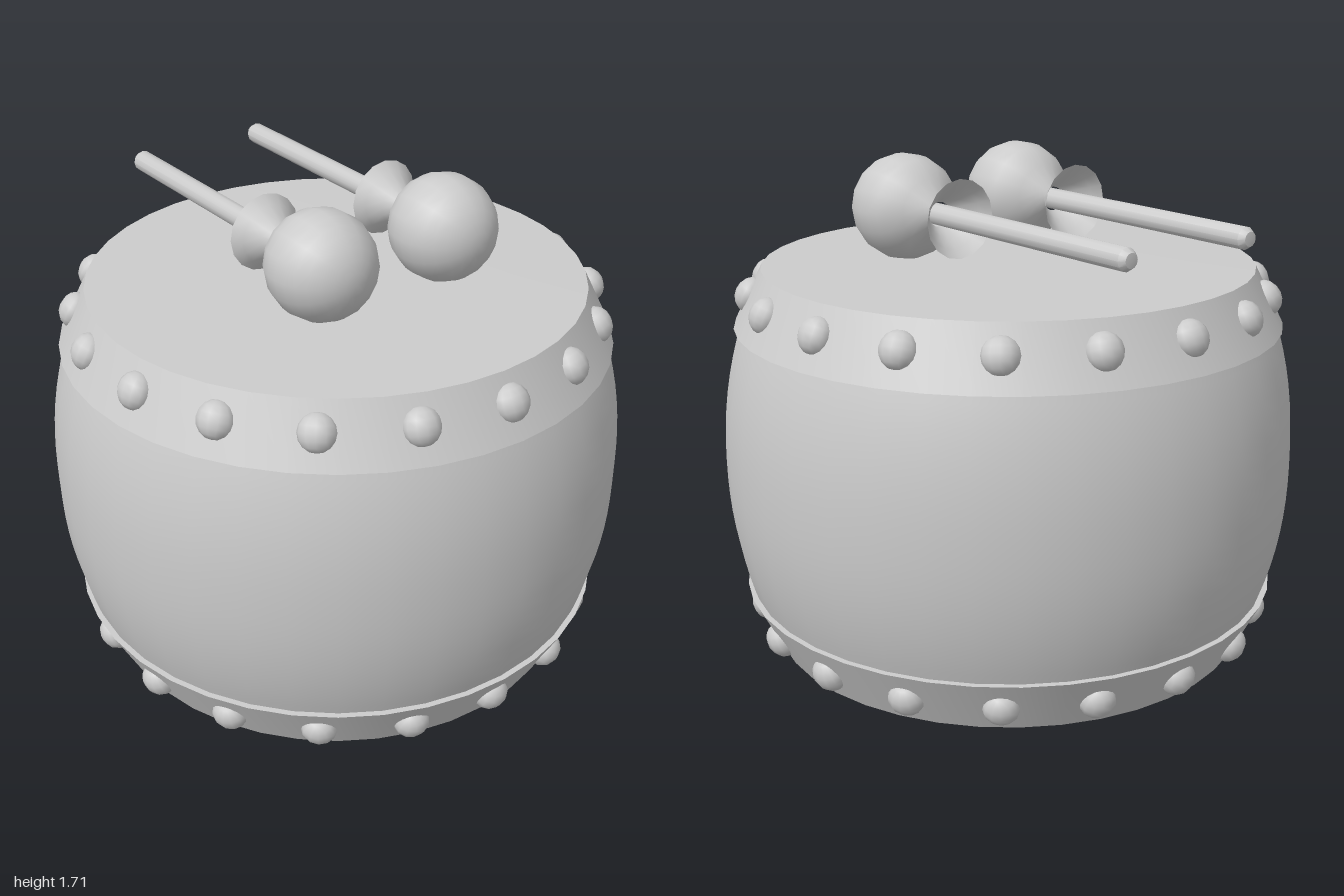
import * as THREE from 'three';
import { toCreasedNormals } from 'three/addons/utils/BufferGeometryUtils.js';

const material = new THREE.MeshStandardMaterial({ color: 0xcccccc });
const clothMaterial = new THREE.MeshStandardMaterial({ color: 0xcccccc, side: THREE.DoubleSide });
const SIDES = 40;
const MID = 0.675; // half height of the drum

function lathe(points, sides, crease = 0.6) {
  const geo = new THREE.LatheGeometry(points.map(([r, y]) => new THREE.Vector2(r, y)), sides);
  return toCreasedNormals(geo, crease);
}

function addMesh(parent, name, geo, mat = material) {
  const mesh = new THREE.Mesh(geo, mat);
  mesh.name = name;
  parent.add(mesh);
  return mesh;
}

// Metal-band end with skin and a ring of studs; built for the top, turned over for the bottom
function createDrumEnd(name) {
  const end = new THREE.Group();
  end.name = name;
  addMesh(end, 'band', lathe([[0.91, 0.47], [0.95, 0.47], [0.85, 0.668]], SIDES, 0.4));
  addMesh(end, 'drumSkin', lathe([[0.85, 0.668], [0.6, 0.672], [0, 0.675]], SIDES));

  const studGeo = new THREE.SphereGeometry(0.062, 12, 8);
  const count = 18;
  for (let i = 0; i < count; i++) {
    const pivot = new THREE.Group();
    pivot.rotation.y = (i / count) * Math.PI * 2;
    const stud = addMesh(pivot, 'stud', studGeo);
    stud.position.set(0, 0.575, 0.887);
    stud.rotation.x = -0.46;
    stud.scale.z = 0.85;
    end.add(pivot);
  }
  return end;
}

// Mallet lying along z, with the ball towards the front
function createMallet(name, x) {
  const mallet = new THREE.Group();
  mallet.name = name;

  // Round head drawn in to a narrow neck
  const head = [[0.042, -0.2], [0.07, -0.178], [0.11, -0.142]];
  for (let i = 0; i <= 10; i++) {
    const a = -0.62 + (i / 10) * (Math.PI / 2 + 0.62);
    head.push([Math.max(0, 0.183 * Math.cos(a)), 0.187 * Math.sin(a)]);
  }
  addMesh(mallet, 'malletHead', lathe(head, 16, 0.9)).position.y = 0.24;

  // Open flared cloth behind the neck
  const flare = [[0.133, -0.077], [0.105, -0.045], [0.07, 0], [0.042, 0.04]];
  addMesh(mallet, 'clothFlare', lathe(flare, 16, 0.9), clothMaterial);

  // Stick with a bevelled tip
  const stick = [[0, -0.898], [0.024, -0.895], [0.037, -0.875], [0.037, 0.06]];
  addMesh(mallet, 'stick', lathe(stick, 12));

  mallet.rotation.x = Math.PI / 2;
  mallet.position.set(x, 1.526, 0);
  return mallet;
}

export function createModel() {
  const model = new THREE.Group();
  model.name = 'drumWithMallets';

  // Bulging barrel body
  const profile = [];
  for (let i = 0; i <= 16; i++) {
    const t = (i / 16) * 2 - 1;
    profile.push([1 - 0.08 * Math.pow(Math.abs(t), 2.2), MID + t * 0.5]);
  }
  addMesh(model, 'barrel', lathe(profile, SIDES));

  const top = createDrumEnd('topEnd');
  top.position.y = MID;
  const bottom = createDrumEnd('bottomEnd');
  bottom.position.y = MID;
  bottom.rotation.z = Math.PI;
  model.add(top, bottom);

  model.add(createMallet('rightMallet', -0.235), createMallet('leftMallet', 0.263));
  return model;
}
